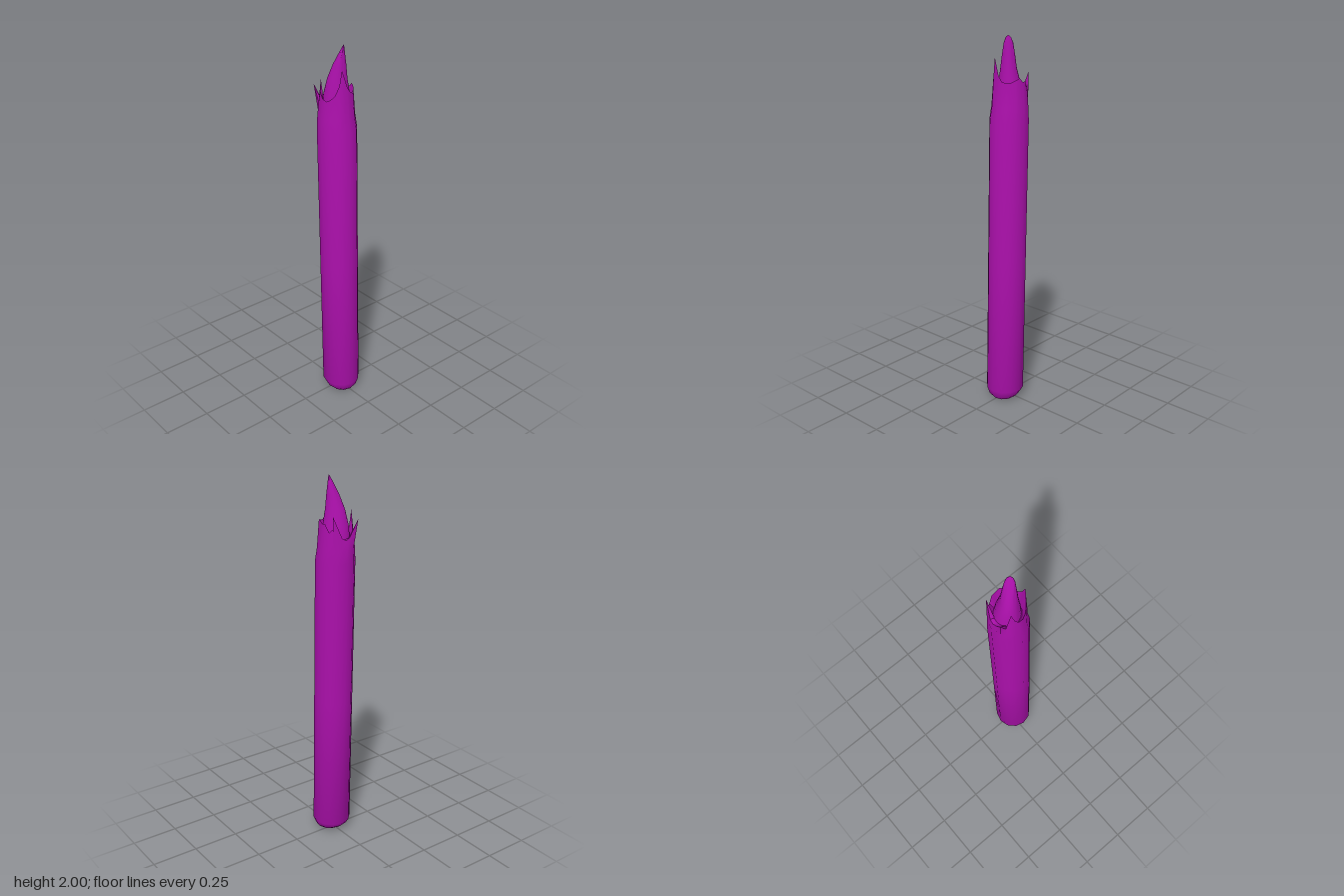
import * as THREE from 'three';
import { toCreasedNormals } from 'three/addons/utils/BufferGeometryUtils.js';

const N = 24; // points per ring
const angle = (i) => (i / N) * Math.PI * 2;
const ringOf = (fn) => Array.from({ length: N }, (_, i) => fn(angle(i), i));

// Skin a stack of rings, each N points, from bottom to top
function loft(rings, crease) {
  const index = [];
  for (let j = 0; j < rings.length - 1; j++) {
    for (let i = 0; i < N; i++) {
      const k = (i + 1) % N;
      const a = j * N + i, b = j * N + k;
      index.push(a, a + N, b, b, a + N, b + N);
    }
  }
  const g = new THREE.BufferGeometry();
  g.setAttribute('position', new THREE.Float32BufferAttribute(rings.flat(2), 3));
  g.setIndex(index);
  return toCreasedNormals(g, crease);
}

// Twelve-sided ring, optionally tilted along x
const shaftRing = (y, cx, r, tilt = 0) => ringOf((a, i) => {
  const s = i % 2 ? r * Math.cos(Math.PI / 12) : r;
  return [cx + s * Math.cos(a), y + tilt * s * Math.cos(a), s * Math.sin(a)];
});

// Elliptical ring with axes turned 45 degrees: u = (x - z), v = (x + z)
const spikeRing = (y, cu, cv, hu, hv) => ringOf((a) => {
  const u = cu + hu * Math.cos(a + Math.PI / 4);
  const v = cv + hv * Math.sin(a + Math.PI / 4);
  return [(u + v) * Math.SQRT1_2, y, (v - u) * Math.SQRT1_2];
});

// Broken rim: splinter tips and deep notches, keyed by ring index
const splinters = {
  1: [0.055, 1.89, 0.03],
  8: [-0.06, 1.83, 0.068],
  10: [-0.12, 1.79, 0.066],
  14: [-0.09, 1.815, -0.068],
};
const rimHeights = {
  0: 1.80, 2: 1.81, 3: 1.76, 4: 1.74, 5: 1.73, 6: 1.74, 7: 1.77, 9: 1.70,
  11: 1.70, 12: 1.69, 13: 1.70, 15: 1.75, 16: 1.73, 19: 1.79, 20: 1.78,
};

export function createModel() {
  const group = new THREE.Group();
  const material = new THREE.MeshStandardMaterial({ color: 0xaa10aa });
  const add = (name, geometry) => {
    const mesh = new THREE.Mesh(geometry, material);
    mesh.name = name;
    group.add(mesh);
  };

  // Leaning shaft with rounded foot, up to the splintered rim and down inside it
  const rim = ringOf((a, i) => splinters[i] ??
    [-0.025 + 0.086 * Math.cos(a), rimHeights[i] ?? 1.77, 0.086 * Math.sin(a)]);
  add('splinteredShaft', loft([
    shaftRing(0.008, 0.02, 0),
    shaftRing(0.01, 0.02, 0.07, -0.1),
    shaftRing(0.027, 0.018, 0.088, -0.07),
    shaftRing(0.06, 0.015, 0.103),
    shaftRing(0.8, -0.001, 0.103),
    shaftRing(1.57, -0.018, 0.103),
    shaftRing(1.64, -0.024, 0.096),
    rim,
    shaftRing(1.69, -0.022, 0.068),
    shaftRing(1.69, -0.02, 0),
  ], 0.9));

  // Tall central splinter, flattened toward its tip
  add('centralSplinter', loft([
    spikeRing(1.67, -0.016, -0.018, 0.072, 0.068),
    spikeRing(1.75, -0.015, -0.015, 0.066, 0.058),
    spikeRing(1.83, -0.011, -0.01, 0.05, 0.042),
    spikeRing(1.9, 0, -0.009, 0.033, 0.033),
    spikeRing(1.96, 0.012, -0.008, 0.014, 0.024),
    spikeRing(1.987, 0.018, -0.007, 0.005, 0.014),
    spikeRing(2.0, 0.02, -0.007, 0, 0),
  ], 1.0));

  // Stand on the ground
  group.children.forEach((m) => m.geometry.computeBoundingBox());
  const base = group.children[0].geometry.boundingBox.min.y;
  group.children.forEach((m) => { m.position.y = -base; });
  return group;
}
